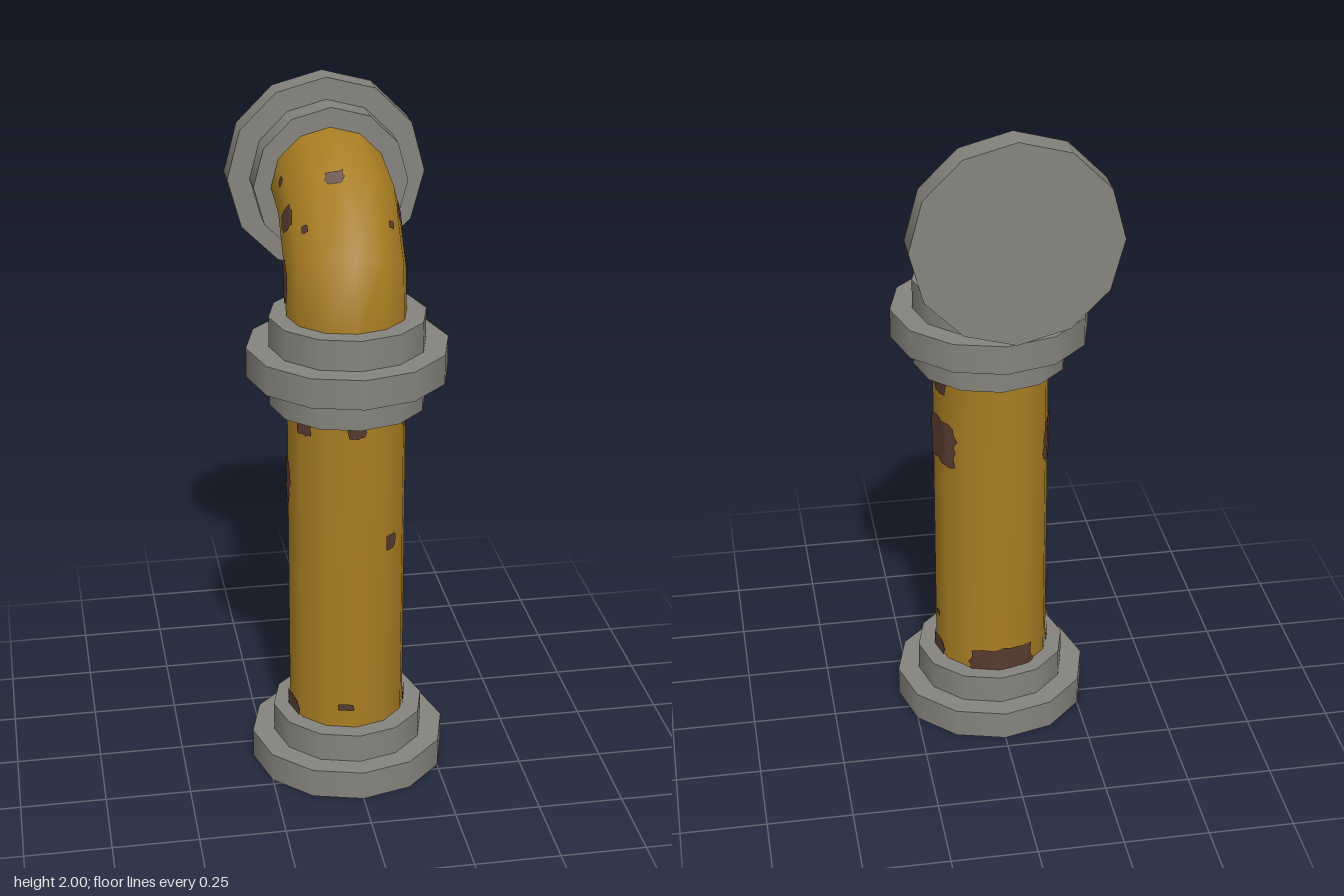
import * as THREE from 'three';
import { mergeGeometries } from 'three/addons/utils/BufferGeometryUtils.js';

const SIDES = 12;
const PIPE_X = -0.003, PIPE_R = 0.172;

// Pipe cross-sections: [outer z, outer y, inner z, inner y], from the base to the elbow's end
const RINGS = [
  [0.255, 0.1, -0.095, 0.1],
  [0.257, 1.4, -0.09, 1.4],
  [0.225, 1.62, -0.095, 1.47],
  [0.04, 1.83, -0.145, 1.535],
  [-0.22, 1.882, -0.22, 1.54],
];

// Corner of a pipe section: ring i, side j (j = 0 is the outer/front corner)
function corner(i, j, scale) {
  const [oz, oy, iz, iy] = RINGS[i];
  const a = (j / SIDES) * Math.PI * 2, c = Math.cos(a) * scale / 2;
  return new THREE.Vector3(
    PIPE_X + Math.sin(a) * PIPE_R * scale,
    (oy + iy) / 2 + c * (oy - iy),
    (oz + iz) / 2 + c * (oz - iz));
}

// Point on the faceted pipe at an angle in degrees and a fractional ring index
function onPipe(deg, v, scale) {
  const i = Math.min(RINGS.length - 2, Math.max(0, Math.floor(v)));
  const t = deg / 360 * SIDES, j = Math.floor(t);
  const low = corner(i, j, scale).lerp(corner(i, j + 1, scale), t - j);
  const high = corner(i + 1, j, scale).lerp(corner(i + 1, j + 1, scale), t - j);
  return low.lerp(high, v - i);
}

function buildGeometry(points, index) {
  const g = new THREE.BufferGeometry().setFromPoints(points);
  g.setIndex(index);
  g.computeVertexNormals();
  return g;
}

function pipeGeometry() {
  const points = [], index = [];
  for (let i = 0; i < RINGS.length; i++)
    for (let j = 0; j < SIDES; j++) {
      points.push(corner(i, j, 1));
      if (i === RINGS.length - 1) continue;
      const k = (j + 1) % SIDES, a = i * SIDES, b = a + SIDES;
      index.push(a + j, a + k, b + k, a + j, b + k, b + j);
    }
  return buildGeometry(points, index);
}

let seed = 7;
function random() {
  seed = (seed * 16807) % 2147483647;
  return seed / 2147483647;
}

// Ragged, squarish blob wrapped just above the pipe surface
function patchGeometry(deg, v, halfDeg, halfV) {
  const N = 24, K = 6, points = [], index = [];
  const edge = [];
  for (let m = 0; m < N; m++) {
    const a = (m / N) * Math.PI * 2, c = Math.cos(a), s = Math.sin(a);
    const r = (0.84 + 0.22 * random()) / Math.pow(Math.max(Math.abs(c), Math.abs(s)), 0.7);
    edge.push([c * r * halfDeg, s * r * halfV]);
  }
  for (let k = 0; k <= K; k++)
    for (let m = 0; m < N; m++) {
      points.push(onPipe(deg + edge[m][0] * k / K, v + edge[m][1] * k / K, 1.03));
      if (k === K) continue;
      const n = (m + 1) % N, a = k * N, b = a + N;
      index.push(a + m, b + m, b + n);
      if (k > 0) index.push(a + m, b + n, a + n);
    }
  return buildGeometry(points, index);
}

export function createModel() {
  const model = new THREE.Group();
  const paint = new THREE.MeshStandardMaterial({ color: 0xa87d22 });
  paint.name = 'ochrePaint';
  const rust = new THREE.MeshStandardMaterial({ color: 0x573a2f });
  rust.name = 'brownRust';
  const metal = new THREE.MeshStandardMaterial({ color: 0x85837d });
  metal.name = 'greyMetal';

  const add = (name, geometry, material) => {
    const mesh = new THREE.Mesh(geometry, material);
    mesh.name = name;
    model.add(mesh);
    return mesh;
  };

  // Upright pipe and elbow
  add('pipe', pipeGeometry(), paint);

  // Flange discs on the upright: [name, radius, bottom, top]
  for (const [name, r, y0, y1] of [
    ['baseFlange', 0.29, 0, 0.088],
    ['baseCollar', 0.225, 0.088, 0.175],
    ['jointLowerCollar', 0.225, 1.158, 1.248],
    ['jointFlange', 0.29, 1.248, 1.335],
    ['jointUpperCollar', 0.225, 1.335, 1.424],
  ]) {
    const g = new THREE.CylinderGeometry(r, r, y1 - y0, SIDES);
    add(name, g, metal).position.set(0, (y0 + y1) / 2, 0.082);
  }

  // Flange discs on the elbow's end, facing back
  for (const [name, r, z0, z1] of [
    ['endCollar', 0.225, -0.288, -0.202],
    ['endFlange', 0.29, -0.374, -0.288],
  ]) {
    const g = new THREE.CylinderGeometry(r, r, z1 - z0, SIDES).rotateX(Math.PI / 2);
    add(name, g, metal).position.set(0, 1.711, (z0 + z1) / 2);
  }

  // Rust on the upright: [angle, height, half angle, half height]
  const uprightRust = [
    [112, 0.93, 23, 0.075], [-104, 0.92, 24, 0.075],
    [110, 1.13, 13, 0.045], [-104, 1.13, 12, 0.04],
    [62, 1.14, 8, 0.035], [-54, 1.135, 9, 0.035], [0, 1.135, 9, 0.025],
    [38, 0.765, 8, 0.025], [92, 0.19, 25, 0.035], [-86, 0.19, 24, 0.035],
    [182, 0.2, 38, 0.05], [-10, 0.243, 8, 0.011], [100, 0.31, 4, 0.01],
  ].map(([a, y, da, dy]) => patchGeometry(a, (y - 0.1) / 1.3, da, dy / 1.3));
  add('uprightRust', mergeGeometries(uprightRust), rust);

  // Rust on the elbow: [angle, ring position, half angle, half length]
  const elbowRust = [[-10, 2.92, 9, 0.07], [172, 1.7, 18, 0.4]];
  for (const side of [1, -1])
    elbowRust.push(
      [side * 104, 1.8, 23, 0.42], [side * 69, 2.7, 12, 0.15],
      [side * 45, 2.45, 4, 0.05], [side * 66, 3.4, 5, 0.08]);
  add('elbowRust', mergeGeometries(elbowRust.map((p) => patchGeometry(...p))), rust);

  return model;
}
